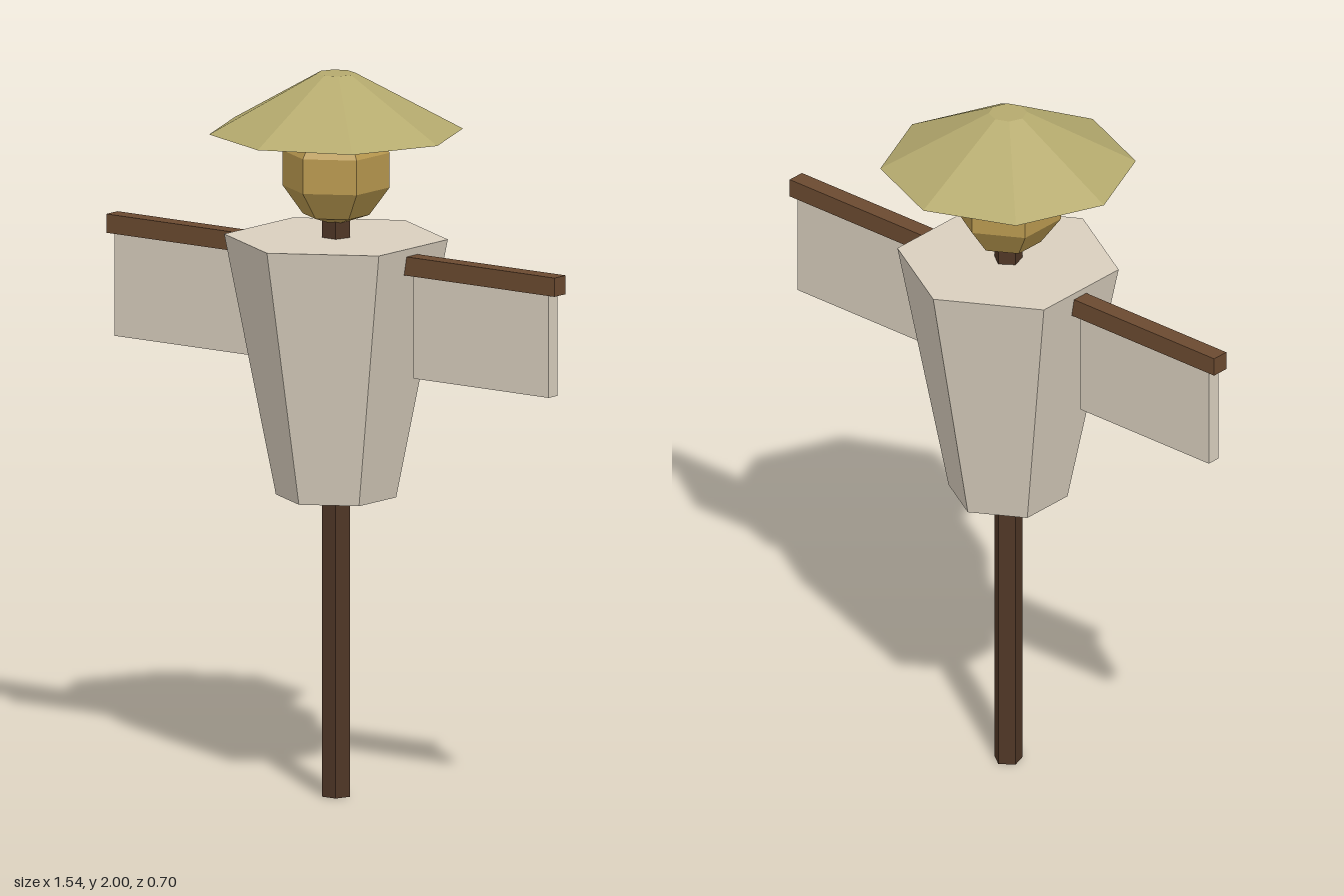
import * as THREE from 'three';

export function createModel() {
  const model = new THREE.Group();
  model.name = 'scarecrow';

  const paint = (color) => new THREE.MeshStandardMaterial({ color, flatShading: true });
  const darkWood = paint(0x4f3626);
  const wood = paint(0x6b4a30);
  const cloth = paint(0xd9cfbe);
  const sack = paint(0xb8984f);
  const straw = paint(0xb5aa6e);

  const add = (name, geometry, material, x, y) => {
    const mesh = new THREE.Mesh(geometry, material);
    mesh.name = name;
    mesh.position.set(x, y, 0);
    model.add(mesh);
    return mesh;
  };
  // Faceted column between two heights
  const column = (name, rTop, rBottom, y0, y1, sides, material) =>
    add(name, new THREE.CylinderGeometry(rTop, rBottom, y1 - y0, sides), material, 0, (y0 + y1) / 2);

  // Five-sided post with a flat side to the front
  column('post', 0.04, 0.04, 0, 1.7, 5, darkWood).rotation.y = Math.PI;

  // Tapered six-sided coat
  column('coat', 0.307, 0.165, 0.83, 1.547, 6, cloth);

  // Crossbar for the arms
  add('crossbar', new THREE.BoxGeometry(1.54, 0.052, 0.05), wood, 0, 1.499);

  // Hanging sleeves
  for (const side of [1, -1]) {
    add(side > 0 ? 'leftSleeve' : 'rightSleeve',
      new THREE.BoxGeometry(0.465, 0.295, 0.04), cloth, side * 0.514, 1.3375);
  }

  // Head with corners to the front and back
  add('head', new THREE.SphereGeometry(0.155, 6, 5), sack, 0, 1.735).rotation.y = Math.PI / 2;

  // Wide straw hat
  column('hat', 0.052, 0.348, 1.838, 2, 8, straw);

  return model;
}
